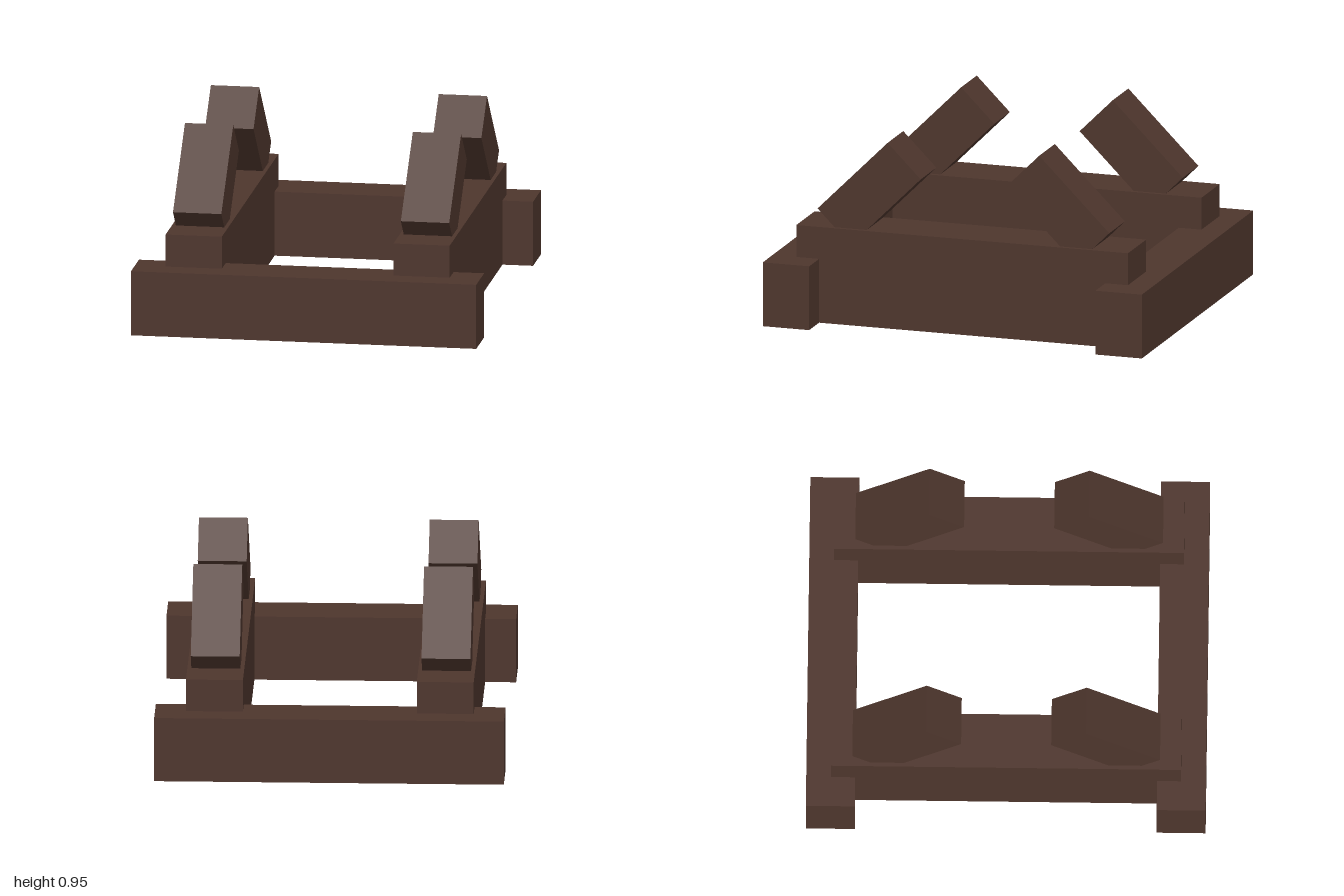
import * as THREE from 'three';

export function createModel() {
  const model = new THREE.Group();
  const darkWood = new THREE.MeshStandardMaterial({ color: 0x4e362d });
  darkWood.name = 'darkWood';

  function beam(name, size, position) {
    const mesh = new THREE.Mesh(new THREE.BoxGeometry(...size), darkWood);
    mesh.name = name;
    mesh.position.set(...position);
    model.add(mesh);
    return mesh;
  }

  // Cross beams at the front and back
  for (const [end, s] of [['front', 1], ['back', -1]]) {
    beam(end + 'CrossBeam', [1.75, 0.33, 0.245], [0, 0.165, s * 0.8775]);
  }

  for (const [side, sx] of [['left', 1], ['right', -1]]) {
    // Long rail, standing taller than the cross beams
    beam(side + 'Rail', [0.285, 0.495, 1.75], [sx * 0.5775, 0.2475, 0]);

    // Braces leaning inward at 45 degrees, feet sunk into the rail
    for (const [end, sz] of [['Front', 1], ['Back', -1]]) {
      const brace = beam(side + end + 'Brace', [0.245, 0.523, 0.247], [sx * 0.5775, 0.6825, sz * 0.4975]);
      brace.rotation.x = -sz * Math.PI / 4;
    }
  }
  return model;
}
